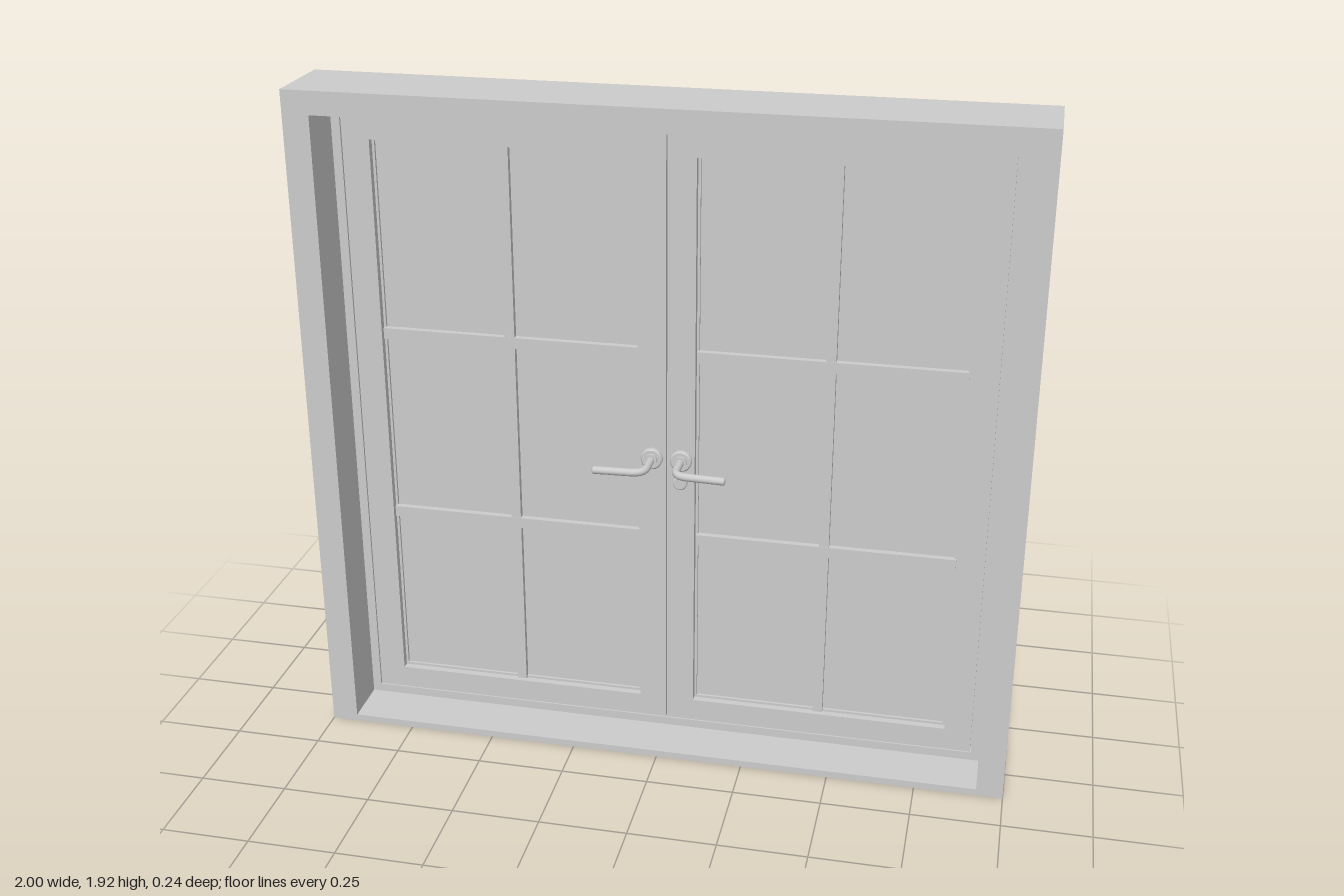
import * as THREE from 'three';

const grey = new THREE.MeshStandardMaterial({ color: 0xcccccc });

function add(parent, name, geometry, x = 0, y = 0, z = 0) {
  const mesh = new THREE.Mesh(geometry, grey);
  mesh.name = name;
  mesh.position.set(x, y, z);
  parent.add(mesh);
  return mesh;
}

// Box given by its limits on each axis
function block(parent, name, [x0, x1], [y0, y1], [z0, z1]) {
  return add(parent, name, new THREE.BoxGeometry(x1 - x0, y1 - y0, z1 - z0),
    (x0 + x1) / 2, (y0 + y1) / 2, (z0 + z1) / 2);
}

function trace(path, [x0, x1, y0, y1]) {
  path.moveTo(x0, y0);
  path.lineTo(x1, y0);
  path.lineTo(x1, y1);
  path.lineTo(x0, y1);
  path.closePath();
  return path;
}

// Rectangular ring: outer and inner limits are [x0, x1, y0, y1]
function ring(parent, name, outer, inner, z0, z1) {
  const shape = trace(new THREE.Shape(), outer);
  shape.holes.push(trace(new THREE.Path(), inner));
  const geometry = new THREE.ExtrudeGeometry(shape, { depth: z1 - z0, bevelEnabled: false });
  return add(parent, name, geometry, 0, 0, z0);
}

// Round part with its axis along z, profile as [radius, z] pairs
function turned(parent, name, profile, x, y, z) {
  const geometry = new THREE.LatheGeometry(profile.map(p => new THREE.Vector2(...p)), 32);
  geometry.rotateX(Math.PI / 2);
  const mesh = add(parent, name, geometry, x, y, z);
  mesh.geometry = geometry.toNonIndexed();
  mesh.geometry.computeVertexNormals();
  return mesh;
}

function createLeaf(side) {
  const leaf = new THREE.Group();
  leaf.name = side > 0 ? 'leftLeaf' : 'rightLeaf';
  const span = (a, b) => side > 0 ? [a, b] : [-b, -a];
  const opening = [...span(0.08, 0.82), 0.115, 1.76];

  // Wide front skin laps over the narrower rear body
  ring(leaf, 'leafFront', [...span(0.0015, 0.897), 0.048, 1.827], opening, -0.05, -0.025);
  ring(leaf, 'leafBody', [...span(0.023, 0.87), 0.075, 1.8], opening, -0.08, -0.05);

  // Glazing with beads and glazing bars
  block(leaf, 'glass', span(0.08, 0.82), [0.115, 1.76], [-0.06, -0.053]);
  ring(leaf, 'glazingBead', opening, [...span(0.087, 0.813), 0.122, 1.753], -0.068, -0.045);
  block(leaf, 'verticalBar', span(0.435, 0.463), [0.117, 1.758], [-0.076, -0.036]);
  for (const y of [0.642, 1.2]) {
    block(leaf, 'horizontalBar', span(0.082, 0.818), [y - 0.016, y + 0.016], [-0.077, -0.035]);
  }
  return leaf;
}

function createHandle(side) {
  const handle = new THREE.Group();
  handle.name = side > 0 ? 'leftHandle' : 'rightHandle';
  const x = side * 0.042, y = 0.893;
  turned(handle, 'rosette',
    [[0, 0], [0.031, 0], [0.031, 0.01], [0.027, 0.014], [0.018, 0.014], [0.018, 0.022], [0, 0.022]],
    x, y, -0.026);

  // Neck comes forward, then bends outward into the lever
  const path = new THREE.CurvePath();
  const p = (px, pz) => new THREE.Vector3(side * px, y, pz);
  path.add(new THREE.LineCurve3(p(0.042, -0.01), p(0.042, 0.045)));
  path.add(new THREE.QuadraticBezierCurve3(p(0.042, 0.045), p(0.042, 0.08), p(0.08, 0.082)));
  path.add(new THREE.LineCurve3(p(0.08, 0.082), p(0.182, 0.087)));
  add(handle, 'lever', new THREE.TubeGeometry(path, 40, 0.011, 14));
  const tip = add(handle, 'leverTip', new THREE.SphereGeometry(0.011, 16, 10), side * 0.182, y, 0.087);
  tip.scale.x = 0.5;
  return handle;
}

export function createModel() {
  const model = new THREE.Group();
  model.name = 'doubleDoor';

  // Deep surround
  ring(model, 'surround', [-1, 1, 0, 1.92], [-0.925, 0.925, 0.02, 1.855], -0.12, 0.12);

  // Rebated door frame: narrow in front, wider behind the leaves
  const outer = [-0.925, 0.925, 0.02, 1.855];
  ring(model, 'frameFront', outer, [-0.9, 0.9, 0.045, 1.83], -0.052, -0.025);
  ring(model, 'frameBack', outer, [-0.873, 0.873, 0.072, 1.803], -0.11, -0.052);

  for (const side of [1, -1]) model.add(createLeaf(side), createHandle(side));

  // Lock cylinder under one handle
  turned(model, 'lockCylinder', [[0, 0], [0.02, 0], [0.02, 0.012], [0.017, 0.015], [0, 0.015]],
    0.04, 0.826, -0.026);

  return model;
}
